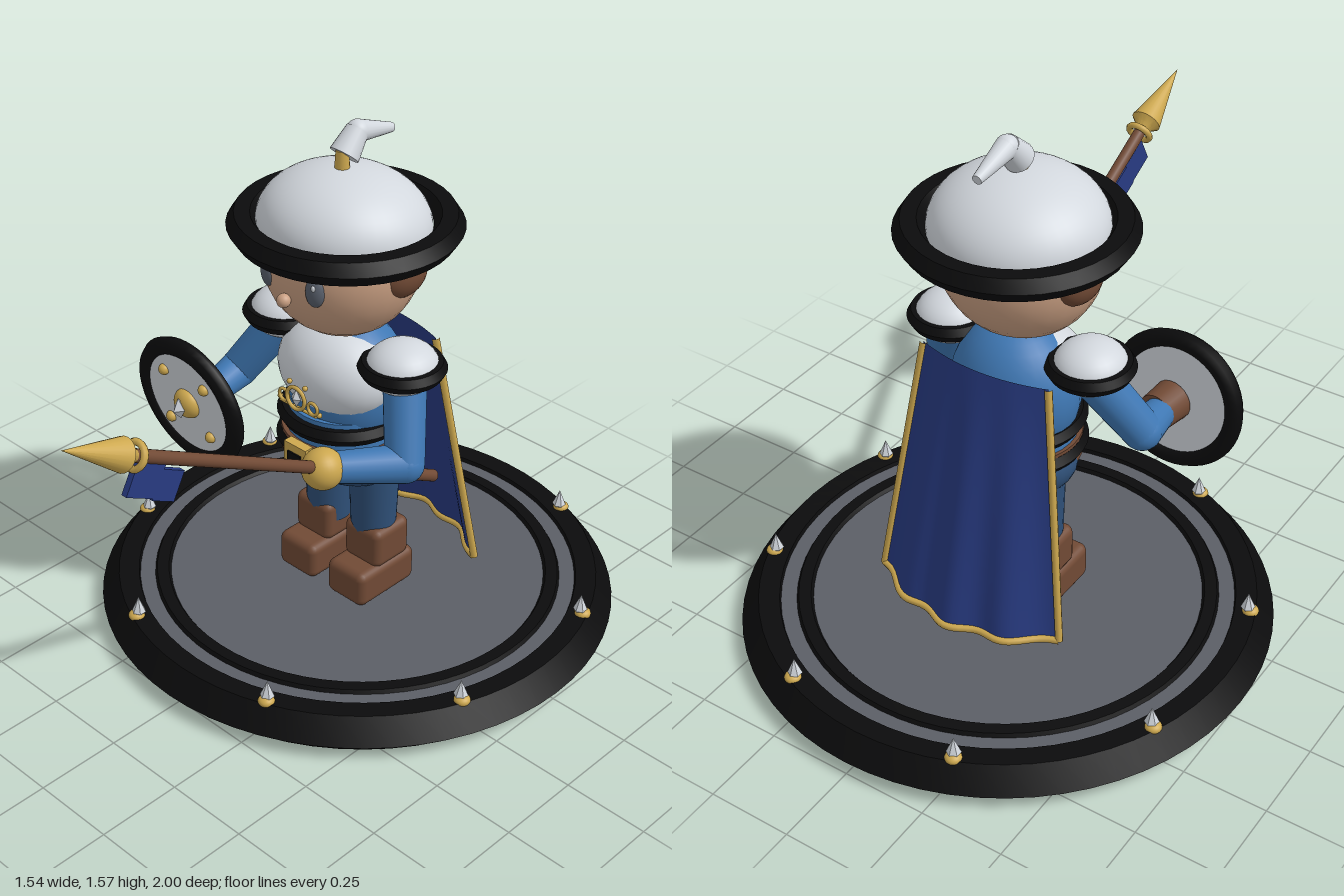
import * as THREE from 'three';
import { toCreasedNormals } from 'three/addons/utils/BufferGeometryUtils.js';
import { RoundedBoxGeometry } from 'three/addons/geometries/RoundedBoxGeometry.js';

const V = (x, y, z) => new THREE.Vector3(x, y, z);
const mat = (name, color, side = THREE.FrontSide) => {
  const m = new THREE.MeshStandardMaterial({ color, side });
  m.name = name;
  return m;
};

export function createModel() {
  const black = mat('black trim', 0x0b0b0c);
  const stone = mat('stone grey', 0x5b5e66);
  const silver = mat('silver', 0xd2d7dd, THREE.DoubleSide);
  const skin = mat('skin', 0xc99f82);
  const brown = mat('brown leather', 0x714a35);
  const gold = mat('gold', 0xcda84f);
  const blue = mat('sleeve blue', 0x3f78b4);
  const pants = mat('trouser blue', 0x2f5078);
  const navy = mat('cape navy', 0x283b82, THREE.DoubleSide);
  const eye = mat('eye grey', 0x59606c);

  const model = new THREE.Group();
  const add = (name, geo, m, x = 0, y = 0, z = 0, parent = model) => {
    const mesh = new THREE.Mesh(geo, m);
    mesh.name = name;
    mesh.position.set(x, y, z);
    parent.add(mesh);
    return mesh;
  };
  const ball = (name, m, p, r, parent = model) => {
    const mesh = add(name, new THREE.SphereGeometry(1, 28, 18), m, ...p, parent);
    mesh.scale.set(...(Array.isArray(r) ? r : [r, r, r]));
    return mesh;
  };
  const limb = (name, m, a, b, ra, rb, parent = model) => {
    const d = b.clone().sub(a);
    const mesh = add(name, new THREE.CylinderGeometry(rb, ra, d.length(), 20), m, 0, 0, 0, parent);
    mesh.position.copy(a).add(b).multiplyScalar(0.5);
    mesh.quaternion.setFromUnitVectors(V(0, 1, 0), d.normalize());
    return mesh;
  };
  const lathe = (pts, seg = 64) =>
    toCreasedNormals(new THREE.LatheGeometry(pts.map(p => new THREE.Vector2(...p)), seg), 0.5);
  // horizontal ring with a six-sided section
  const ring = (name, m, r, w, h, x, y, z) => add(name, lathe([
    [r - w, 0], [r - w / 2, -h], [r + w / 2, -h], [r + w, 0], [r + w / 2, h], [r - w / 2, h], [r - w, 0],
  ], 40), m, x, y, z);

  // Round base with two black rings and eight studs
  const bz = -0.23;
  add('baseDisc', new THREE.CylinderGeometry(0.715, 0.715, 0.1, 64), stone, 0, 0.05, bz);
  add('baseRim', lathe([[0.715, 0], [0.725, 0], [0.772, 0.045], [0.72, 0.115], [0.66, 0.112], [0.655, 0.095]]), black, 0, 0, bz);
  add('baseInnerRing', lathe([[0.614, 0.095], [0.605, 0.111], [0.57, 0.111], [0.56, 0.095]]), black, 0, 0, bz);
  for (let i = 0; i < 8; i++) {
    const a = Math.PI / 8 + i * Math.PI / 4, x = Math.cos(a), z = Math.sin(a);
    ball('studBase', gold, [x * 0.705, 0.115, bz + z * 0.705], [0.024, 0.016, 0.024]);
    add('studSpike', lathe([[0, -0.03], [0.021, -0.005], [0, 0.045]], 6), silver, x * 0.697, 0.133, bz + z * 0.697);
  }

  // Legs, boots, arms, shoulder pads
  for (const s of [-1, 1]) {
    add('leg', new THREE.CylinderGeometry(0.076, 0.066, 0.3, 24), pants, s * 0.09, 0.42, -0.2);
    add('bootShaft', new RoundedBoxGeometry(0.138, 0.13, 0.145, 3, 0.025), brown, s * 0.1, 0.27, -0.205);
    add('bootFoot', new RoundedBoxGeometry(0.146, 0.115, 0.235, 3, 0.025), brown, s * 0.1, 0.16, -0.182);
    ball('shoulderPad', silver, [s * 0.225, 0.925, -0.155], [0.102, 0.075, 0.105]);
    ring('shoulderPadRim', black, 0.1, 0.025, 0.022, s * 0.225, 0.925, -0.155);
  }
  const arm = (name, shoulder, elbow, wrist) => {
    const g = new THREE.Group();
    g.name = name;
    model.add(g);
    limb('upperArm', blue, shoulder, elbow, 0.062, 0.056, g);
    ball('elbow', blue, elbow.toArray(), 0.056, g);
    limb('forearm', blue, elbow, wrist, 0.056, 0.044, g);
  };
  arm('leftArm', V(0.23, 0.9, -0.16), V(0.31, 0.68, -0.08), V(0.2, 0.705, 0.11));
  arm('rightArm', V(-0.23, 0.9, -0.16), V(-0.345, 0.71, -0.08), V(-0.33, 0.69, 0.05));
  ball('leftHand', gold, [0.195, 0.708, 0.125], 0.06);
  limb('rightGlove', brown, V(-0.322, 0.69, 0.03), V(-0.33, 0.69, 0.11), 0.055, 0.06);

  // Torso, breastplate and belts
  ball('hips', pants, [0, 0.57, -0.185], [0.187, 0.12, 0.155]);
  ball('torso', blue, [0, 0.79, -0.175], [0.187, 0.21, 0.165]);
  add('waist', new THREE.CylinderGeometry(0.165, 0.172, 0.14, 32), blue, 0, 0.66, -0.168);
  ball('breastplate', silver, [0, 0.84, -0.135], [0.19, 0.142, 0.145]);
  ring('upperBelt', black, 0.165, 0.028, 0.023, 0, 0.693, -0.165);
  add('belt', new THREE.CylinderGeometry(0.18, 0.18, 0.075, 36), brown, 0, 0.609, -0.165);
  ring('lowerBelt', black, 0.166, 0.029, 0.024, 0, 0.612, -0.165);
  add('buckle', new THREE.BoxGeometry(0.085, 0.08, 0.03), gold, 0, 0.61, 0.022);
  add('buckleCentre', new THREE.BoxGeometry(0.05, 0.03, 0.006), black, 0, 0.61, 0.039);

  // Chest ornament
  const orn = new THREE.Group();
  orn.name = 'chestOrnament';
  orn.position.set(0, 0.805, 0.022);
  model.add(orn);
  add('centreRing', new THREE.TorusGeometry(0.034, 0.006, 8, 24), gold, 0, 0, 0.01, orn);
  add('centreGem', new THREE.OctahedronGeometry(0.024), silver, 0, 0, 0.008, orn).scale.set(0.75, 1.2, 0.6);
  for (const s of [-1, 1]) {
    add('sideRing', new THREE.TorusGeometry(0.018, 0.005, 8, 18), gold, s * 0.056, -0.015, 0, orn);
    ball('bead', gold, [s * 0.03, 0.042, 0.004], 0.008, orn);
    ball('bead', gold, [s * 0.076, -0.03, -0.006], 0.008, orn);
  }
  limb('ornamentBar', gold, V(-0.07, -0.035, 0), V(0.07, -0.035, 0), 0.005, 0.005, orn);

  // Head and face
  ball('head', skin, [0, 1.19, -0.145], [0.23, 0.225, 0.215]);
  ball('nose', skin, [0, 1.133, 0.077], 0.02);
  for (const s of [-1, 1]) {
    ball('hairSide', brown, [s * 0.19, 1.2, -0.172], [0.064, 0.075, 0.087]);
    ball('eye', eye, [s * 0.088, 1.18, 0.046], [0.028, 0.045, 0.02]).rotation.y = s * 0.35;
    ball('eyeGlint', silver, [s * 0.088 + 0.009, 1.2, 0.064], [0.007, 0.009, 0.005]);
    const brow = add('brow', new THREE.BoxGeometry(0.07, 0.014, 0.02), brown, s * 0.088, 1.245, 0.042);
    brow.rotation.set(0, s * 0.4, s * 0.2);
  }

  // Helmet with brim and plume
  const dome = add('helmetDome', new THREE.SphereGeometry(1, 40, 20, 0, Math.PI * 2, 0, Math.PI * 0.6), silver, 0, 1.285, -0.155);
  dome.scale.set(0.247, 0.165, 0.236);
  dome.rotation.x = -0.08;
  ring('helmetBrim', black, 0.282, 0.044, 0.034, 0, 1.283, -0.162);
  add('plumeStem', new THREE.CylinderGeometry(0.018, 0.022, 0.07, 16), gold, 0, 1.465, -0.145);
  limb('plumeLower', silver, V(0, 1.482, -0.152), V(0, 1.54, -0.203), 0.043, 0.032);
  ball('plumeBend', silver, [0, 1.536, -0.203], 0.032);
  limb('plumeUpper', silver, V(0, 1.536, -0.203), V(0, 1.504, -0.336), 0.032, 0.014);

  // Cape: flared, folded sheet with gold hems
  const cape = (u, v) => V(
    u * (0.2 + 0.1 * v),
    0.935 - 0.755 * v,
    -0.32 - 0.1 * v - (1 - u * u) * (0.035 + 0.075 * v) - 0.012 * v * Math.cos(u * 11));
  const sheet = new THREE.PlaneGeometry(1, 1, 32, 12);
  const sp = sheet.attributes.position;
  for (let i = 0; i < sp.count; i++) {
    const p = cape(sp.getX(i) * 2, 0.5 - sp.getY(i));
    sp.setXYZ(i, p.x, p.y, p.z);
  }
  sheet.computeVertexNormals();
  add('cape', sheet, navy);
  const hem = f => {
    const pts = Array.from({ length: 25 }, (_, i) => f(i / 24));
    add('capeHem', new THREE.TubeGeometry(new THREE.CatmullRomCurve3(pts), 48, 0.011, 8), gold);
  };
  hem(t => cape(-1, t));
  hem(t => cape(1, t));
  hem(t => cape(t * 2 - 1, 1));

  // Shield
  const shield = new THREE.Group();
  shield.name = 'shield';
  shield.position.set(-0.335, 0.69, 0.122);
  shield.rotation.x = 0.13;
  model.add(shield);
  add('shieldFace', new THREE.CylinderGeometry(0.17, 0.17, 0.026, 40), silver, 0, 0, 0, shield).rotation.x = Math.PI / 2;
  add('shieldRim', new THREE.TorusGeometry(0.181, 0.028, 8, 48), black, 0, 0, 0, shield).scale.z = 0.85;
  ball('shieldBoss', gold, [0, 0, 0.012], [0.047, 0.047, 0.035], shield);
  add('shieldSpike', new THREE.OctahedronGeometry(0.03), silver, 0, 0, 0.045, shield).scale.set(0.7, 1.2, 0.8);
  for (const x of [-1, 1]) for (const y of [-1, 1])
    ball('rivet', gold, [x * 0.083, y * 0.085, 0.014], 0.017, shield);

  // Spear with pennant, pointing forward and up
  const spear = new THREE.Group();
  spear.name = 'spear';
  spear.position.set(0.195, 0.46, -0.34);
  spear.rotation.x = 1.078;
  model.add(spear);
  limb('spearShaft', brown, V(0, 0, 0), V(0, 1.32, 0), 0.018, 0.018, spear);
  add('spearHead', lathe([[0.018, 1.275], [0.03, 1.3], [0.046, 1.315], [0, 1.521]], 20), gold, 0, 0, 0, spear);
  add('spearCollar', new THREE.TorusGeometry(0.034, 0.01, 8, 20), gold, 0, 1.272, 0, spear).rotation.x = Math.PI / 2;
  add('pennant', new THREE.BoxGeometry(0.018, 0.1, 0.095), navy, 0, 1.21, 0.06, spear);
  add('pennantTail', new THREE.BoxGeometry(0.018, 0.08, 0.085), navy, 0, 1.125, 0.07, spear);

  return model;
}
